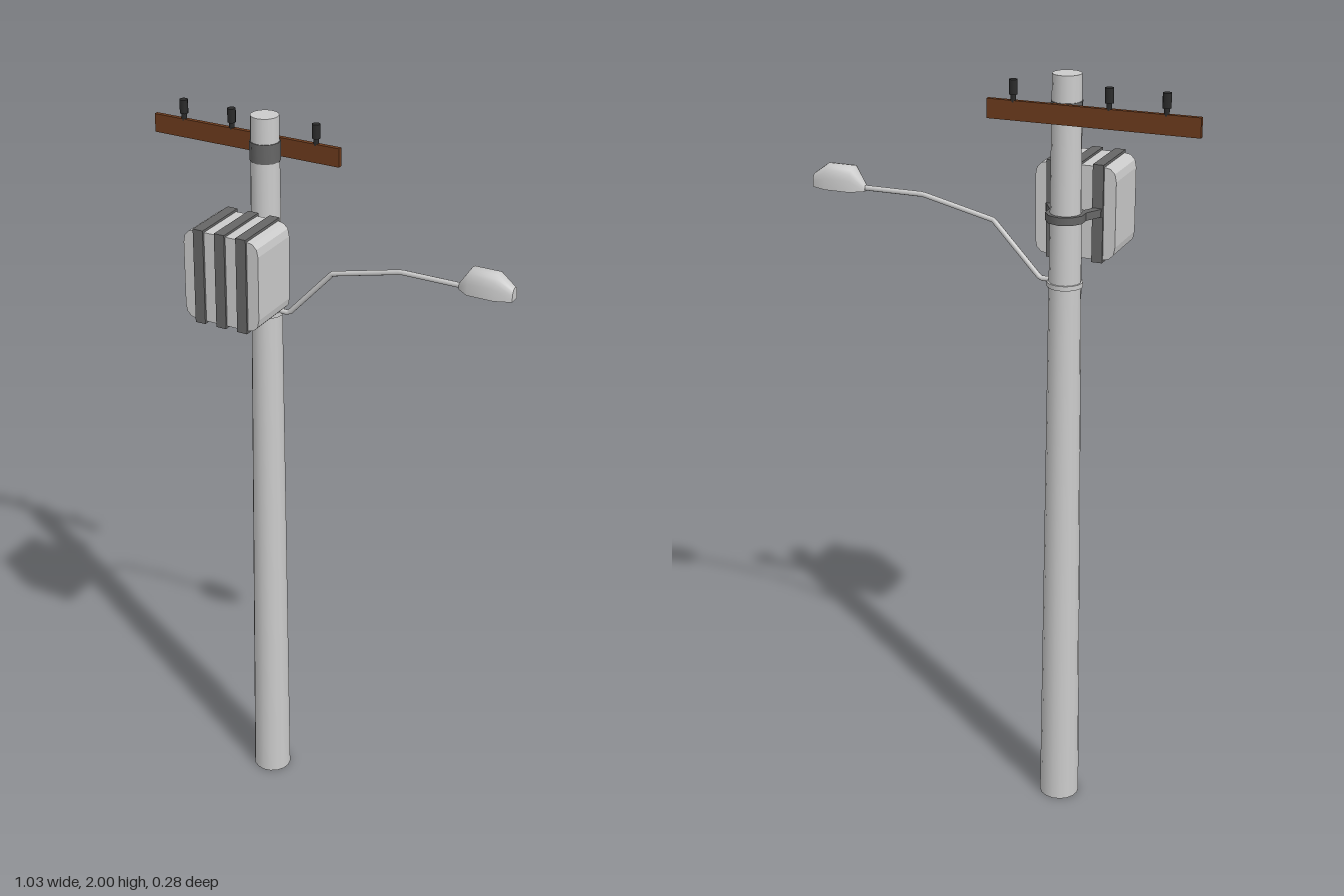
import * as THREE from 'three';

const PX = -0.17, PZ = -0.088; // pole axis

const mat = (color) => new THREE.MeshStandardMaterial({ color });

function add(parent, name, geometry, material, x = 0, y = 0, z = 0) {
  const mesh = new THREE.Mesh(geometry, material);
  mesh.name = name;
  mesh.position.set(x, y, z);
  parent.add(mesh);
  return mesh;
}

// Lamp head: half-oval sections with a flat underside, lofted along x
function lampGeometry() {
  // x, half width, underside y, top y
  const sections = [
    [0.368, 0.008, 1.657, 1.673],
    [0.4, 0.031, 1.657, 1.72],
    [0.47, 0.031, 1.657, 1.72],
    [0.511, 0.015, 1.657, 1.69],
  ];
  const n = 10, pos = [], index = [];
  for (const [x, w, y0, y1] of sections) {
    for (let i = 0; i <= n; i++) {
      const a = (i / n) * Math.PI;
      const c = Math.cos(a);
      pos.push(x, y0 + (y1 - y0) * Math.pow(Math.sin(a), 0.7), Math.sign(c) * w * Math.pow(Math.abs(c), 0.8));
    }
  }
  const row = n + 1;
  for (let s = 0; s < sections.length - 1; s++) {
    for (let i = 0; i < n; i++) {
      const a = s * row + i, b = a + row;
      index.push(a, b, a + 1, b, b + 1, a + 1);
    }
  }
  // flat underside and end caps use their own vertices to keep the edges sharp
  const copy = (k) => {
    pos.push(pos[k * 3], pos[k * 3 + 1], pos[k * 3 + 2]);
    return pos.length / 3 - 1;
  };
  for (let s = 0; s < sections.length - 1; s++) {
    const [a, b, c, d] = [s * row, s * row + n, (s + 1) * row, (s + 1) * row + n].map(copy);
    index.push(a, b, c, b, d, c);
  }
  for (const s of [0, sections.length - 1]) {
    const ring = Array.from({ length: row }, (_, i) => copy(s * row + i));
    for (let i = 1; i < n; i++) {
      if (s) index.push(ring[0], ring[i + 1], ring[i]);
      else index.push(ring[0], ring[i], ring[i + 1]);
    }
  }
  const g = new THREE.BufferGeometry();
  g.setAttribute('position', new THREE.Float32BufferAttribute(pos, 3));
  g.setIndex(index);
  g.computeVertexNormals();
  return g;
}

// Transformer case: rectangle with rounded corners, extruded front to back
function caseGeometry(w, h, depth, r) {
  const x = w / 2, y = h / 2, s = new THREE.Shape();
  s.moveTo(-x + r, -y);
  s.lineTo(x - r, -y);
  s.quadraticCurveTo(x, -y, x, -y + r);
  s.lineTo(x, y - r);
  s.quadraticCurveTo(x, y, x - r, y);
  s.lineTo(-x + r, y);
  s.quadraticCurveTo(-x, y, -x, y - r);
  s.lineTo(-x, -y + r);
  s.quadraticCurveTo(-x, -y, -x + r, -y);
  return new THREE.ExtrudeGeometry(s, { depth, bevelEnabled: false, curveSegments: 3 });
}

export function createModel() {
  const model = new THREE.Group();
  model.name = 'utilityPole';
  const grey = mat(0xcccccc), dark = mat(0x666666), brown = mat(0x6b3a1c), black = mat(0x2a2a2a);

  // Tapered pole
  add(model, 'pole', new THREE.CylinderGeometry(0.036, 0.053, 2, 16), grey, PX, 1, PZ);

  // Collars around the pole
  add(model, 'lampCollar', new THREE.CylinderGeometry(0.045, 0.045, 0.012, 16), grey, PX, 1.479, PZ);
  add(model, 'crossarmCollar', new THREE.CylinderGeometry(0.039, 0.039, 0.05, 12), dark, PX, 1.91, PZ);
  add(model, 'transformerCollar', new THREE.CylinderGeometry(0.05, 0.05, 0.02, 10), dark, PX, 1.65, PZ);

  // Crossarm with insulators
  add(model, 'crossarm', new THREE.BoxGeometry(0.532, 0.048, 0.012), brown, -0.249, 1.91, -0.13);
  for (const x of [-0.43, -0.29, -0.05]) {
    add(model, 'insulatorPin', new THREE.CylinderGeometry(0.007, 0.007, 0.02, 8), black, x, 1.94, -0.13);
    add(model, 'insulator', new THREE.CylinderGeometry(0.011, 0.011, 0.036, 8), black, x, 1.966, -0.13);
  }

  // Transformer case, bands and bracket arms
  const transformer = new THREE.Group();
  transformer.name = 'transformer';
  transformer.position.set(PX, 1.645, 0);
  model.add(transformer);
  add(transformer, 'case', caseGeometry(0.21, 0.236, 0.153, 0.035), grey, 0, 0, -0.021);
  for (const x of [-0.06, 0, 0.06]) {
    add(transformer, 'band', new THREE.BoxGeometry(0.028, 0.248, 0.165), dark, x, 0, 0.0555);
  }
  for (const side of [-1, 1]) {
    const arm = add(transformer, 'bracketArm', new THREE.BoxGeometry(0.022, 0.02, 0.055), dark, side * 0.05, 0.005, -0.047);
    arm.rotation.y = side * 0.52;
    add(transformer, 'bracketFoot', new THREE.BoxGeometry(0.028, 0.02, 0.02), dark, side * 0.06, 0.005, -0.023);
  }

  // Bent lamp arm
  const path = new THREE.CurvePath();
  const points = [[-0.15, 1.485], [-0.105, 1.485], [0.02, 1.62], [0.21, 1.665], [0.385, 1.665]]
    .map(([x, y]) => new THREE.Vector3(x, y, PZ));
  for (let i = 1; i < points.length; i++) path.add(new THREE.LineCurve3(points[i - 1], points[i]));
  add(model, 'lampArm', new THREE.TubeGeometry(path, 60, 0.007, 8), grey);

  add(model, 'lampHead', lampGeometry(), grey, 0, 0, PZ);
  return model;
}
